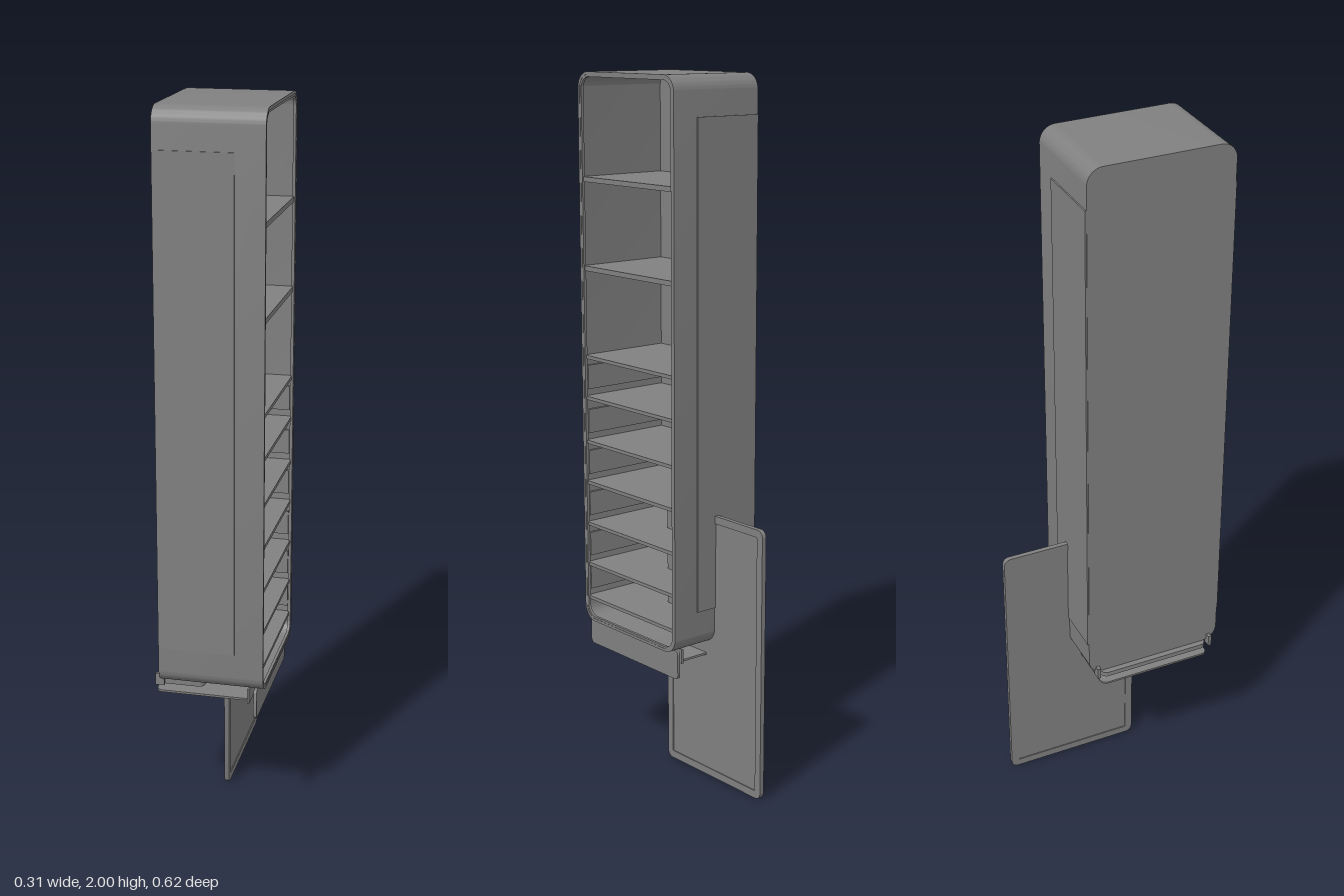
import * as THREE from 'three';
import { toCreasedNormals } from 'three/addons/utils/BufferGeometryUtils.js';

const gray = new THREE.MeshStandardMaterial({ color: 0x808080 });
gray.name = 'grey metal';

// Rounded rectangle outline, as a Shape or a hole Path
function roundRect(target, u0, v0, u1, v1, r) {
  target.moveTo(u0 + r, v0);
  target.lineTo(u1 - r, v0);
  target.absarc(u1 - r, v0 + r, r, -Math.PI / 2, 0, false);
  target.lineTo(u1, v1 - r);
  target.absarc(u1 - r, v1 - r, r, 0, Math.PI / 2, false);
  target.lineTo(u0 + r, v1);
  target.absarc(u0 + r, v1 - r, r, Math.PI / 2, Math.PI, false);
  target.lineTo(u0, v0 + r);
  target.absarc(u0 + r, v0 + r, r, Math.PI, Math.PI * 1.5, false);
  return target;
}

function extrude(shape, depth) {
  return new THREE.ExtrudeGeometry(shape, { depth, bevelEnabled: false, curveSegments: 8 });
}

export function createModel() {
  const model = new THREE.Group();

  function add(name, geometry) {
    const mesh = new THREE.Mesh(geometry, gray);
    mesh.name = name;
    model.add(mesh);
    return mesh;
  }

  // Box given by its two extreme corners
  function box(name, x0, y0, z0, x1, y1, z1) {
    const g = new THREE.BoxGeometry(x1 - x0, y1 - y0, z1 - z0);
    g.translate((x0 + x1) / 2, (y0 + y1) / 2, (z0 + z1) / 2);
    return add(name, g);
  }

  // Upright slab: rounded outline in z and y, thickness in x, optional open middle
  function upright(name, x0, x1, z0, y0, z1, y1, r, rim) {
    const shape = roundRect(new THREE.Shape(), z0, y0, z1, y1, r);
    if (rim) {
      shape.holes.push(roundRect(new THREE.Path(), z0 + rim, y0 + rim, z1 - rim, y1 - rim, Math.max(r - rim, 0.004)));
    }
    const g = extrude(shape, x1 - x0).rotateY(-Math.PI / 2).translate(x1, 0, 0);
    return add(name, toCreasedNormals(g, 0.6));
  }

  // Flat tray: rounded outline in x and z, thickness in y
  function flat(name, x0, z0, x1, z1, y0, y1, r) {
    const shape = roundRect(new THREE.Shape(), x0, z0, x1, z1, r);
    const g = extrude(shape, y1 - y0).rotateX(Math.PI / 2).translate(0, y1, 0);
    return add(name, toCreasedNormals(g, 0.6));
  }

  // Cabinet body, open towards +x
  upright('cabinetShell', -0.14, 0.155, -0.11, 0.41, 0.305, 2, 0.045, 0.008);
  upright('cabinetBackWall', -0.14, -0.132, -0.109, 0.411, 0.304, 1.999, 0.044);
  upright('openingRim', 0.146, 0.154, -0.104, 0.416, 0.299, 1.994, 0.04, 0.008);

  // Thin skins on both narrow walls, ending at the long vertical seam
  for (const [z0, z1] of [[-0.114, -0.11], [0.305, 0.308]]) {
    box('sideSkin', -0.138, 0.52, z0, 0.075, 1.89, z1);
  }

  // Shelves: three wide bays on top, narrow ones below
  for (const y of [1.705, 1.455]) box('upperShelf', -0.132, y - 0.007, -0.103, 0.15, y + 0.007, 0.298);
  const lowerLevels = [1.2, 1.08, 0.95, 0.828, 0.703, 0.58, 0.477];
  for (const y of lowerLevels) {
    box('lowerShelf', -0.132, y - 0.005, -0.103, 0.15, y + 0.005, 0.298);
  }

  // Guide strips beside the lower shelves
  for (const y of lowerLevels.slice(1)) {
    for (const [z0, z1] of [[-0.103, -0.094], [0.289, 0.298]]) {
      box('shelfGuide', -0.13, y + 0.025, z0, 0.145, y + 0.095, z1);
    }
  }

  // Standing door leaf with a raised frame, passing through the lower cabinet
  upright('doorLeaf', 0.001, 0.009, -0.308, 0.002, 0.093, 0.788, 0.02);
  upright('doorFrame', -0.002, 0.012, -0.31, 0, 0.095, 0.79, 0.02, 0.022);

  // Hanging flap under the opening
  upright('lowerFlap', 0.128, 0.137, -0.1, 0.33, 0.302, 0.415, 0.012);
  box('flapLip', 0.108, 0.37, -0.09, 0.114, 0.412, 0.29);

  // Trays and pegs under the cabinet
  flat('lowerTray', -0.157, -0.075, 0.112, 0.27, 0.368, 0.374, 0.018);
  flat('upperTray', -0.155, -0.072, -0.02, 0.267, 0.394, 0.408, 0.018);
  for (const z of [-0.084, 0.279]) {
    box('trayPeg', -0.155, 0.396, z - 0.005, -0.13, 0.43, z + 0.005);
  }

  return model;
}
